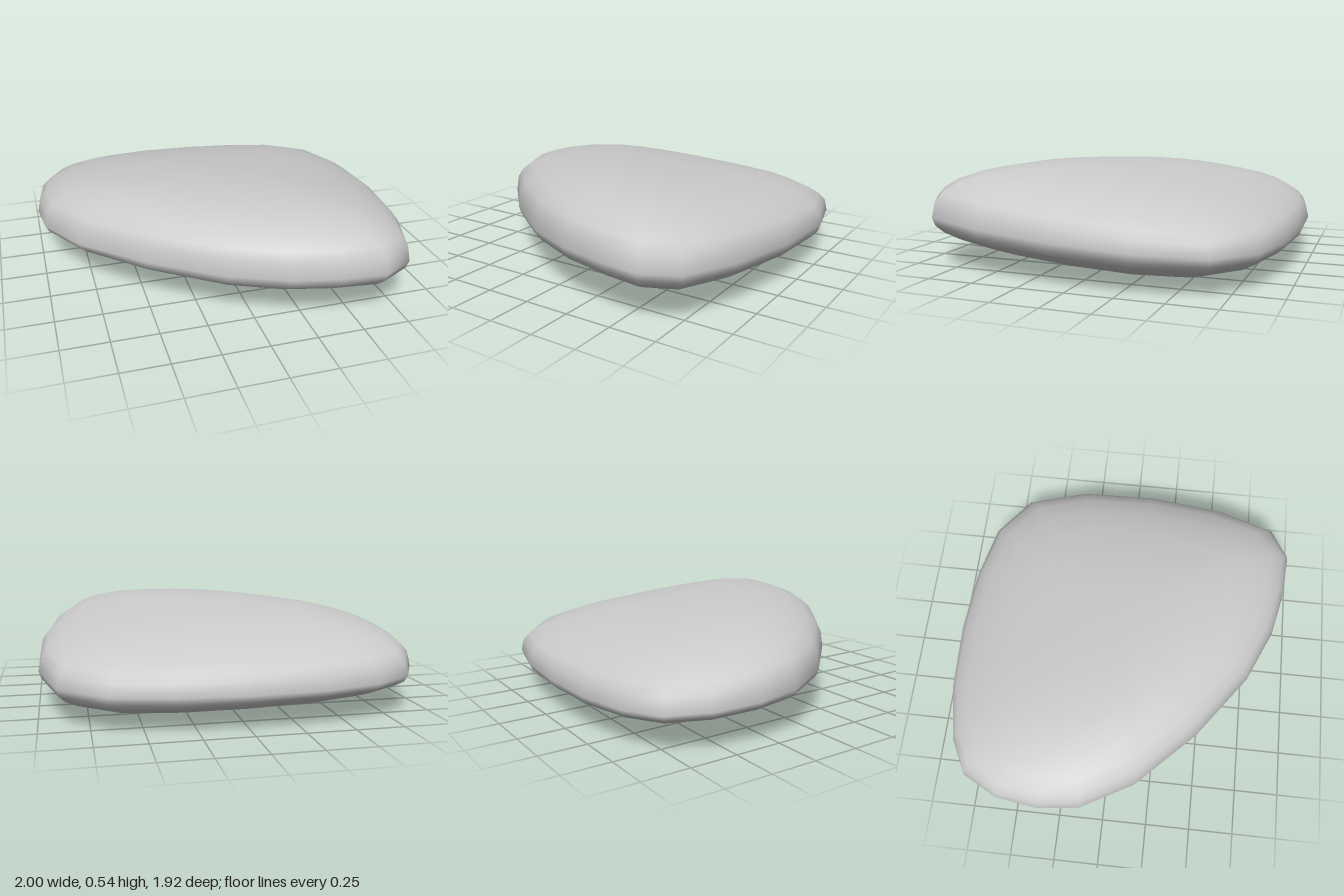
import * as THREE from 'three';

// Widest outline of the stone as [x, z], clockwise seen from above
const OUTLINE = [
  [0, -0.965], [0.36, -0.935], [0.68, -0.86], [0.905, -0.68], [0.995, -0.33],
  [0.99, 0.11], [0.92, 0.54], [0.8, 0.86], [0.625, 0.96], [0.4, 0.94],
  [0.15, 0.885], [-0.15, 0.75], [-0.51, 0.48], [-0.82, 0.16], [-0.975, -0.13],
  [-1, -0.36], [-0.965, -0.6], [-0.855, -0.8], [-0.66, -0.9], [-0.37, -0.955],
];
const CENTRE = [0.1, -0.06];
const RINGS = [0.2, 0.4, 0.6, 0.76, 0.88, 0.95, 0.985]; // share of the outline radius

// Height of the surface: a tilted rim plane with a dome above and a belly below,
// the dome fuller towards the front left, the belly deeper towards the left-hand side
function height(x, z, r, top) {
  const rim = 0.232 + 0.05 * z - 0.008 * x;
  return top
    ? rim + (0.287 + 0.05 * z - 0.03 * x) * (1 - r ** 2.5) ** 0.4
    : rim - (0.222 + 0.015 * z + 0.035 * x) * Math.sqrt(1 - r ** 1.85);
}

function stoneGeometry() {
  const n = OUTLINE.length;
  const positions = [];
  const index = [];
  const add = (r, [ox, oz], top) => {
    const x = CENTRE[0] + (ox - CENTRE[0]) * r;
    const z = CENTRE[1] + (oz - CENTRE[1]) * r;
    positions.push(x, height(x, z, r, top), z);
  };

  // Rings from the top pole, over the rim, to the bottom pole
  const levels = [
    ...RINGS.map((r) => [r, true]),
    [1, true],
    ...RINGS.map((r) => [r, false]).reverse(),
  ];
  add(0, CENTRE, true);
  for (const [r, top] of levels) for (const p of OUTLINE) add(r, p, top);
  add(0, CENTRE, false);

  const id = (ring, j) => 1 + ring * n + (j % n);
  const last = levels.length - 1;
  const bottom = 1 + levels.length * n;
  for (let j = 0; j < n; j++) {
    index.push(0, id(0, j + 1), id(0, j));
    for (let i = 0; i < last; i++) {
      const a = id(i, j), b = id(i, j + 1), c = id(i + 1, j), d = id(i + 1, j + 1);
      index.push(a, b, d, a, d, c);
    }
    index.push(bottom, id(last, j), id(last, j + 1));
  }

  const geometry = new THREE.BufferGeometry();
  geometry.setAttribute('position', new THREE.Float32BufferAttribute(positions, 3));
  geometry.setIndex(index);
  geometry.computeBoundingBox();
  geometry.translate(0, -geometry.boundingBox.min.y, 0); // rest on the ground
  geometry.computeVertexNormals();
  return geometry;
}

export function createModel() {
  const model = new THREE.Group();
  model.name = 'pebble';
  const stone = new THREE.Mesh(stoneGeometry(), new THREE.MeshStandardMaterial({ color: 0xcccccc }));
  stone.name = 'stone';
  model.add(stone);
  return model;
}
